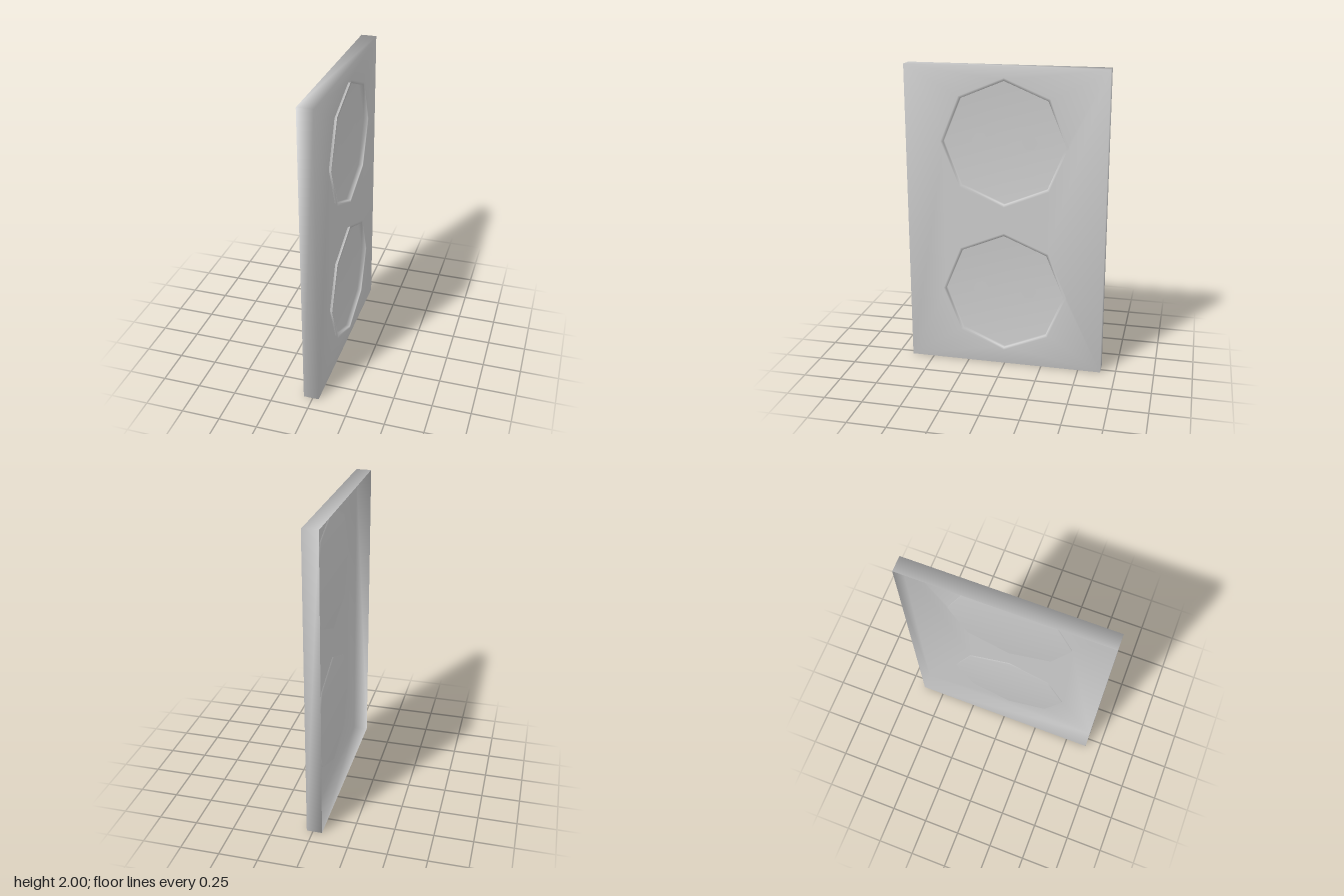
import * as THREE from 'three';
import { mergeGeometries, mergeVertices } from 'three/addons/utils/BufferGeometryUtils.js';

const WIDTH = 1.3, HEIGHT = 2, BACK = -0.06, FACE = 0.04, RIM = 0.06, FLOOR = 0.03;
const CENTRES = [0.52, 1.52];
const INNER = 0.395, OUTER = 0.413;

function createPlateGeometry() {
  // Four edge walls of the shell: a box without its two large sides
  const walls = new THREE.BoxGeometry(FACE - BACK, HEIGHT, WIDTH);
  walls.setIndex(Array.from(walls.index.array).slice(12));
  walls.translate((FACE + BACK) / 2, HEIGHT / 2, 0);

  // Face panel with two octagonal openings
  const w = WIDTH / 2;
  const panel = new THREE.Shape([[-w, 0], [w, 0], [w, HEIGHT], [-w, HEIGHT]].map(p => new THREE.Vector2(...p)));
  for (const cy of CENTRES) {
    const ring = [];
    for (let i = 0; i < 8; i++) {
      const a = -i * Math.PI / 4;
      ring.push(new THREE.Vector2(Math.cos(a) * INNER, cy + Math.sin(a) * INNER));
    }
    panel.holes.push(new THREE.Path(ring));
  }
  const face = new THREE.ShapeGeometry(panel).rotateY(Math.PI / 2).translate(FACE, 0, 0);

  // Weld so that shading runs smoothly around the edges
  for (const g of [walls, face]) {
    g.deleteAttribute('uv');
    g.deleteAttribute('normal');
  }
  const plate = mergeVertices(mergeGeometries([walls, face]), 1e-4);
  plate.computeVertexNormals();
  return plate;
}

export function createModel() {
  const group = new THREE.Group();
  const material = new THREE.MeshStandardMaterial({ color: 0xcccccc, side: THREE.DoubleSide });

  function add(parent, geometry, name) {
    const mesh = new THREE.Mesh(geometry, material);
    mesh.name = name;
    parent.add(mesh);
    return mesh;
  }

  // Open-backed wall plate
  add(group, createPlateGeometry(), 'wallPlate');

  // Octagonal dish: thin flange, inner wall and floor
  const dish = new THREE.LatheGeometry(
    [[OUTER, RIM], [INNER, RIM], [INNER, FLOOR], [0, FLOOR]].map(p => new THREE.Vector2(...p)), 8
  ).rotateZ(-Math.PI / 2);
  const contact = new THREE.CircleGeometry(0.053, 6).rotateY(Math.PI / 2);

  CENTRES.forEach((cy, i) => {
    const socket = new THREE.Group();
    socket.name = i ? 'upperSocket' : 'lowerSocket';
    socket.position.y = cy;
    add(socket, dish, 'socketDish');
    // Pair of six-sided contact holes
    for (const side of [-1, 1]) {
      add(socket, contact, side > 0 ? 'frontContactHole' : 'rearContactHole')
        .position.set(FLOOR + 0.004, 0.01, side * 0.16);
    }
    group.add(socket);
  });

  return group;
}
